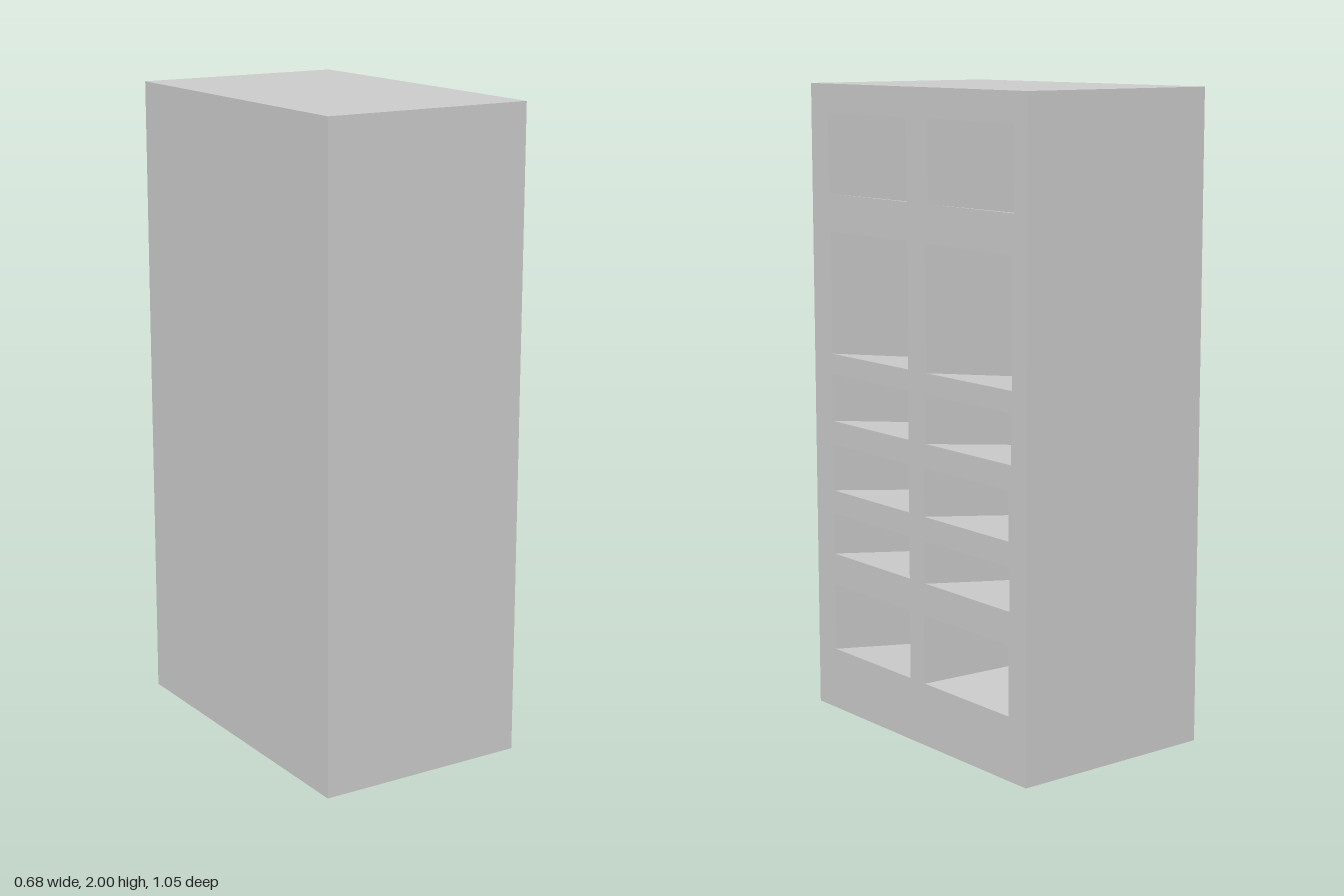
import * as THREE from 'three';

const W = 1.054, H = 2, F = 0.3375; // cabinet width, height, half depth
const DEPTH = 0.42, DROP = 0.055;   // compartment depth, fall of its floor

// Flat-sided geometry from four-cornered faces
function quads(list) {
  const pos = [];
  for (const [a, b, c, d] of list) pos.push(...a, ...b, ...c, ...a, ...c, ...d);
  const g = new THREE.BufferGeometry();
  g.setAttribute('position', new THREE.Float32BufferAttribute(pos, 3));
  g.computeVertexNormals();
  return g;
}

// Five inner faces of a compartment whose floor falls towards its back
function compartment(s0, s1, y0, y1, drop) {
  const B = F - DEPTH, yb = y0 - drop;
  return quads([
    [[s0, y0, F], [s1, y0, F], [s1, yb, B], [s0, yb, B]], // floor
    [[s0, y1, B], [s1, y1, B], [s1, y1, F], [s0, y1, F]], // ceiling
    [[s0, y0, F], [s0, yb, B], [s0, y1, B], [s0, y1, F]], // side
    [[s1, y0, F], [s1, y1, F], [s1, y1, B], [s1, yb, B]], // other side
    [[s0, yb, B], [s1, yb, B], [s1, y1, B], [s0, y1, B]], // back
  ]);
}

function rectangle(Type, s0, s1, y0, y1) {
  return new Type([[s0, y0], [s1, y0], [s1, y1], [s0, y1]].map(p => new THREE.Vector2(...p)));
}

export function createModel() {
  const model = new THREE.Group();
  const cabinet = new THREE.Group();
  cabinet.name = 'cabinet';
  cabinet.rotation.y = Math.PI / 2; // open side faces +x
  model.add(cabinet);

  const material = new THREE.MeshStandardMaterial({ color: 0xcccccc, flatShading: true });
  const add = (name, geometry) => {
    const mesh = new THREE.Mesh(geometry, material);
    mesh.name = name;
    cabinet.add(mesh);
  };

  // Rows: bottom, top, start of the second column, floor fall in that column
  const rows = [
    [0.197, 0.412, 0.043, 0.01],
    [0.513, 0.645, 0.048, DROP],
    [0.72, 0.87, 0.043, DROP],
    [0.945, 1.095, 0.055, DROP],
    [1.16, 1.545, 0.058, DROP],
    [1.662, 1.91, 0.068, DROP],
  ];

  // Face frame pierced by the openings, with a compartment behind each
  const w = W / 2;
  const face = rectangle(THREE.Shape, -w, w, 0, H);
  rows.forEach(([y0, y1, second, drop], i) => {
    [[-0.434, DROP], [second, drop]].forEach(([s, fall], j) => {
      face.holes.push(rectangle(THREE.Path, s, s + 0.403, y0, y1));
      add(`compartment${i + 1}${j ? 'Back' : 'Front'}`, compartment(s, s + 0.403, y0, y1, fall));
    });
  });
  add('faceFrame', new THREE.ShapeGeometry(face).translate(0, 0, F));

  // Outer case, without the face frame's side
  add('case', quads([
    [[w, 0, F], [w, 0, -F], [w, H, -F], [w, H, F]],
    [[-w, 0, -F], [-w, 0, F], [-w, H, F], [-w, H, -F]],
    [[-w, H, F], [w, H, F], [w, H, -F], [-w, H, -F]],
    [[-w, 0, -F], [w, 0, -F], [w, 0, F], [-w, 0, F]],
    [[w, 0, -F], [-w, 0, -F], [-w, H, -F], [w, H, -F]],
  ]));
  return model;
}
